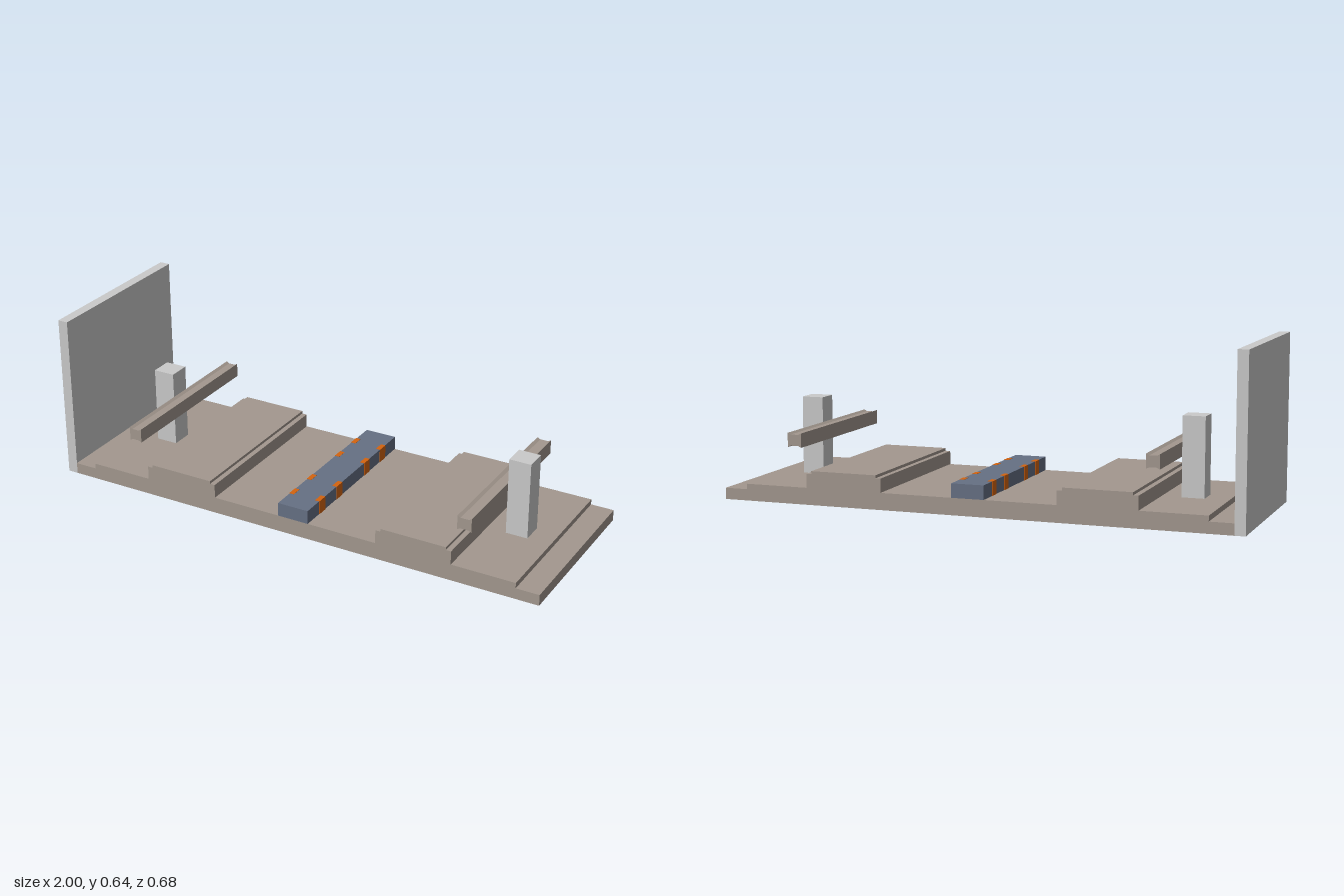
import * as THREE from 'three';

const DEPTH = 0.68;
const mat = (name, color) => new THREE.MeshStandardMaterial({ name, color });

export function createModel() {
  const group = new THREE.Group();
  const stone = mat('taupe stone', 0xa3988f);
  const grey = mat('light grey', 0xcacaca);
  const blue = mat('slate blue', 0x667084);
  const orange = mat('orange', 0xd4640f);

  // Box given by its limits on each axis
  const box = (name, material, x0, x1, y0, y1, z0 = -DEPTH / 2, z1 = DEPTH / 2) => {
    const mesh = new THREE.Mesh(new THREE.BoxGeometry(x1 - x0, y1 - y0, z1 - z0), material);
    mesh.position.set((x0 + x1) / 2, (y0 + y1) / 2, (z0 + z1) / 2);
    mesh.name = name;
    group.add(mesh);
  };

  // Front outline swept through the full depth
  const sweep = (name, material, points) => {
    const shape = new THREE.Shape(points.map(([x, y]) => new THREE.Vector2(x, y)));
    const geometry = new THREE.ExtrudeGeometry(shape, { depth: DEPTH, bevelEnabled: false });
    geometry.translate(0, 0, -DEPTH / 2);
    const mesh = new THREE.Mesh(geometry, material);
    mesh.name = name;
    group.add(mesh);
  };

  // Stepped floor with two raised platforms
  const platform = (x0, x1) => [
    [x1, 0.064], [x1, 0.117], [x1 - 0.02, 0.117], [x1 - 0.02, 0.128],
    [x0 + 0.02, 0.128], [x0 + 0.02, 0.117], [x0, 0.117], [x0, 0.064],
  ];
  sweep('floor', stone, [
    [-0.96, 0], [1, 0], [1, 0.043], [0.91, 0.043], [0.91, 0.064],
    ...platform(0.36, 0.66), ...platform(-0.62, -0.32),
    [-0.87, 0.064], [-0.87, 0.043], [-0.96, 0.043],
  ]);

  // End wall
  box('wall', grey, -1, -0.96, 0, 0.64);

  // Pillars and the waisted rails they carry
  for (const [side, x0, railX0, railX1] of [['right', -0.78, -0.695, -0.645], ['left', 0.735, 0.68, 0.735]]) {
    box(side + 'Pillar', grey, x0, x0 + 0.085, 0.064, 0.363, -0.0425, 0.0425);
    sweep(side + 'Rail', stone, [
      [railX0, 0.213], [railX0 + 0.012, 0.219], [railX1 - 0.012, 0.219], [railX1, 0.213],
      [railX1, 0.267], [railX1 - 0.012, 0.261], [railX0 + 0.012, 0.261], [railX0, 0.267],
    ]);
  }

  // Central bench with orange markers wrapped over both long edges
  box('bench', blue, -0.044, 0.081, 0.064, 0.117);
  for (const z of [-0.235, -0.107, 0.107, 0.235]) {
    for (const [x0, x1] of [[-0.046, -0.027], [0.064, 0.083]]) {
      box('marker', orange, x0, x1, 0.064, 0.118, z - 0.021, z + 0.021);
    }
  }
  return group;
}
